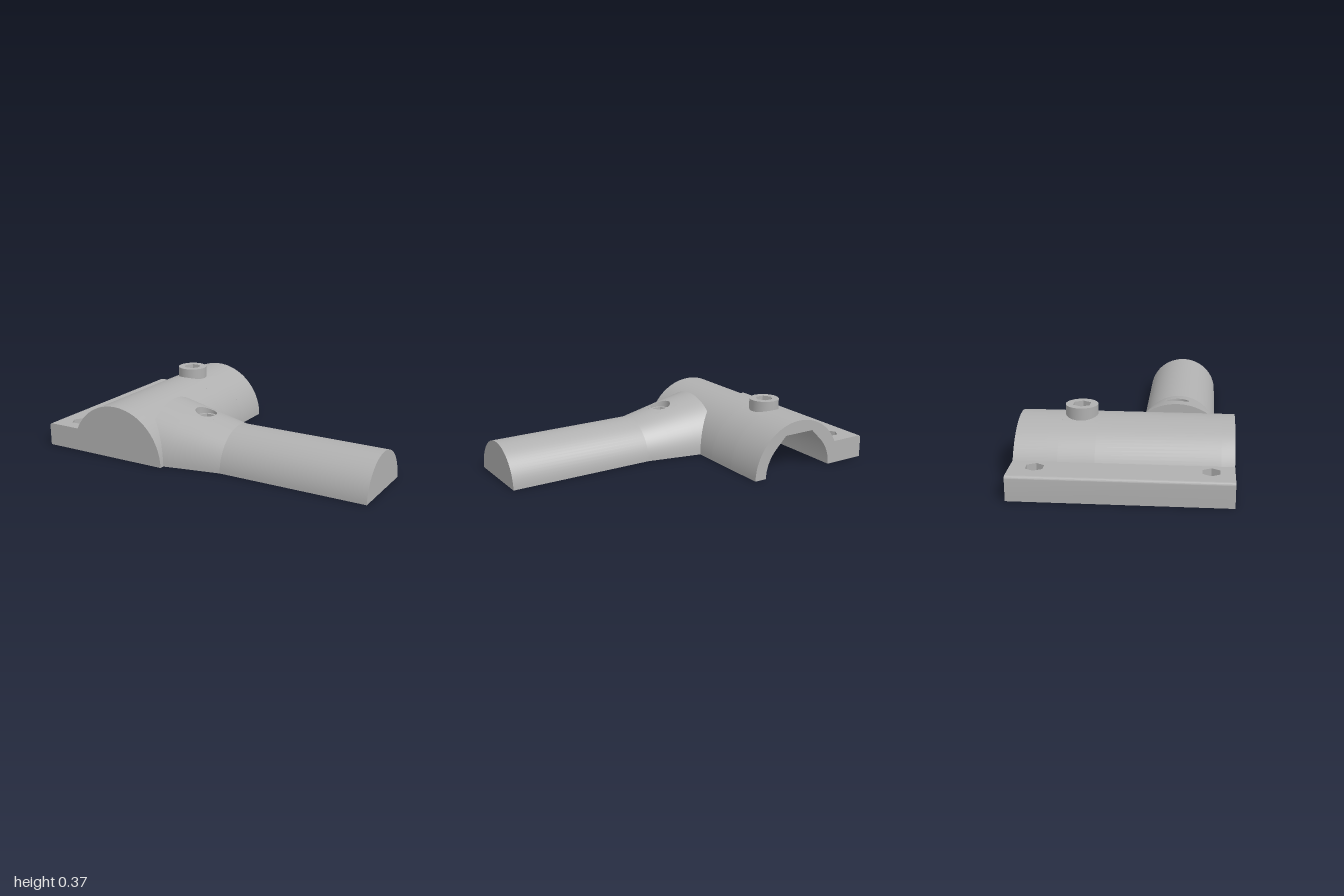
import * as THREE from 'three';
import { toCreasedNormals } from 'three/addons/utils/BufferGeometryUtils.js';

const grey = new THREE.MeshStandardMaterial({ color: 0xb0b0b0, side: THREE.DoubleSide });
grey.name = 'grey plastic';

const CX = -0.51, R = 0.31, BORE = 0.235, HALF = BORE * Math.tan(Math.PI / 8); // sleeve
const LEN = 0.575, WALL = 0.505;                                            // sleeve ends
const AZ = 0.26, AR = 0.22, HX = -0.09, HH = 0.08;                          // arm
const HOLE = 0.03, HEX = 0.052;
const BZ = -0.245, BOSS = 0.088;

const V2 = (x, y) => new THREE.Vector2(x, y);

// Points along an arc
function arc(cx, cy, r, a0, a1, n) {
  return Array.from({ length: n + 1 }, (_, i) => {
    const a = a0 + (a1 - a0) * i / n;
    return V2(cx + r * Math.cos(a), cy + r * Math.sin(a));
  });
}

// Surface through rows of equally many [x, y, z] points
function grid(rows, skip = () => false) {
  const n = rows[0].length, index = [];
  for (let i = 0; i < rows.length - 1; i++) for (let j = 0; j < n - 1; j++) {
    if (skip(i, j)) continue;
    const a = i * n + j, b = a + n;
    index.push(a, a + 1, b, a + 1, b + 1, b);
  }
  const g = new THREE.BufferGeometry();
  g.setAttribute('position', new THREE.Float32BufferAttribute(rows.flat(2), 3));
  g.setIndex(index);
  return toCreasedNormals(g, 0.5);
}

// Closed ring in plan whose height follows a rule; square or round
function ring(cx, cz, size, height, square = false) {
  return Array.from({ length: 33 }, (_, i) => {
    const a = i / 32 * Math.PI * 2, c = Math.cos(a), s = Math.sin(a);
    const k = square ? size / Math.max(Math.abs(c), Math.abs(s)) : size;
    const x = cx + k * c, z = cz + k * s;
    return [x, height(x, z), z];
  });
}

export function createModel() {
  const model = new THREE.Group();
  const add = (name, geo) => {
    const m = new THREE.Mesh(geo, grey);
    m.name = name;
    model.add(m);
    return m;
  };
  const slab = (name, pts, z0, z1) => {
    const g = new THREE.ExtrudeGeometry(new THREE.Shape(pts), { depth: z1 - z0, bevelEnabled: false });
    add(name, toCreasedNormals(g.translate(0, 0, z0), 0.5));
  };
  const tube = (name, r, x, z, y0, y1, sides = 32) => add(name, toCreasedNormals(
    new THREE.CylinderGeometry(r, r, y1 - y0, sides, 1, true)
      .rotateY(Math.PI / 6).translate(x, (y0 + y1) / 2, z), 0.5));
  // Horizontal disc with a hole
  const washer = (name, outer, inner, x, z, y, so, si) => {
    const s = new THREE.Shape(arc(0, 0, outer, 0, Math.PI * 2, so).slice(0, -1));
    s.holes.push(new THREE.Path(arc(0, 0, inner, 0, Math.PI * 2, si).slice(0, -1)));
    add(name, new THREE.ShapeGeometry(s).rotateX(-Math.PI / 2).translate(x, y, z));
  };
  // Hexagonal nut pocket with a screw hole below it
  const pocket = (x, z, top, floor, bottom) => {
    tube('nutPocket', HEX, x, z, floor, top, 6);
    washer('nutPocketFloor', HEX, HOLE, x, z, floor, 6, 32);
    tube('screwHole', HOLE, x, z, bottom, floor);
  };

  // Sleeve: half tube with a flat-roofed bore, closed at the front
  const q = Math.PI / 4;
  const profile = [
    ...arc(CX, 0, R, 0, Math.PI, 48),
    ...arc(CX, 0, BORE, Math.PI, 3 * q, 12),
    V2(CX - HALF, BORE), V2(CX + HALF, BORE),
    ...arc(CX, 0, BORE, q, 0, 12),
  ];
  slab('sleeveBack', profile, -LEN, BZ - HALF);
  slab('sleeveFront', profile, BZ + HALF, WALL);
  slab('sleeveEndWall', arc(CX, 0, R, 0, Math.PI, 48), WALL, LEN);
  for (const s of [1, -1]) {
    const side = [
      ...arc(0, 0, R, 0, Math.acos(HALF / R), 20),
      V2(HALF, BORE),
      ...arc(0, 0, BORE, q, 0, 12),
    ].map(p => V2(CX + s * p.x, p.y));
    slab('sleeveSide', side, BZ - HALF, BZ + HALF);
  }

  // Sleeve roof around the boss, pierced for the screw
  const sleeveTop = x => Math.sqrt(R * R - (x - CX) ** 2);
  add('sleeveRoof', grid([ring(CX, BZ, 0.08, sleeveTop), ring(CX, BZ, HALF, sleeveTop, true)]));
  add('boreCeiling', grid([ring(CX, BZ, HOLE, () => BORE), ring(CX, BZ, HALF, () => BORE, true)]));

  // Boss on the sleeve
  tube('boss', BOSS, CX, BZ, 0.28, 0.365, 48);
  washer('bossTop', BOSS, HEX, CX, BZ, 0.365, 48, 6);
  pocket(CX, BZ, 0.365, 0.31, BORE);

  // Flange plate: round holes below, hexagonal pockets above
  const FX = -0.865, flangeZ = [-0.445, 0.455];
  const layer = (name, top, depth, r, sides) => {
    const s = new THREE.Shape([V2(-0.985, -LEN), V2(-0.78, -LEN), V2(-0.78, LEN), V2(-0.985, LEN)]);
    for (const z of flangeZ)
      s.holes.push(new THREE.Path(arc(FX, z, r, 0, Math.PI * 2, sides).slice(0, -1)));
    const g = new THREE.ExtrudeGeometry(s, { depth, bevelEnabled: false });
    add(name, toCreasedNormals(g.rotateX(Math.PI / 2).translate(0, top, 0), 0.5));
  };
  layer('flangeLower', 0.075, 0.075, HOLE, 32);
  layer('flangeUpper', 0.135, 0.06, HEX, 6);
  slab('flangeRoundedEdge', [
    V2(-0.985, 0), ...arc(-0.985, 0.12, 0.015, Math.PI / 2, Math.PI, 6), V2(-1, 0),
  ], -LEN, LEN);

  // Arm: half cone flaring into the sleeve, then a straight half cylinder
  const radius = x => AR + Math.max(0, 0.13 - x) * 0.2045;
  const seatX = y => Math.max(-0.31, CX + Math.sqrt(Math.max(0, 0.275 ** 2 - y * y)));
  const SIDE = 14, TOP = 8, N = 2 * SIDE + TOP;
  const section = (x, seated = false) => Array.from({ length: N + 1 }, (_, j) => {
    const c = Math.acos(HH / radius(x));
    const a = j <= SIDE ? c * j / SIDE
      : j <= SIDE + TOP ? c + (Math.PI - 2 * c) * (j - SIDE) / TOP
      : Math.PI - c * (N - j) / SIDE;
    const px = seated ? seatX(radius(x) * Math.sin(a)) : x, r = radius(px);
    return [px, r * Math.sin(a), AZ + r * Math.cos(a)];
  });
  const root = section(-0.31, true);
  add('armFlare', grid([root, section(HX - HH), section(HX + HH), section(0.13)],
    (i, j) => i === 1 && j >= SIDE && j < SIDE + TOP));
  add('armShaft', grid([section(0.13), section(1)]));
  add('armRootFace', grid([root.slice(0, N / 2 + 1), root.slice(N / 2).reverse()]));
  add('armEndFace', new THREE.CircleGeometry(AR, 48, 0, Math.PI)
    .rotateY(Math.PI / 2).translate(1, 0, AZ));

  // Underside of the arm
  const rootX = seatX(0), rr = radius(rootX);
  const under = new THREE.Shape([
    V2(rootX, AZ - rr), V2(0.13, AZ - AR), V2(1, AZ - AR),
    V2(1, AZ + AR), V2(0.13, AZ + AR), V2(rootX, AZ + rr),
  ]);
  under.holes.push(new THREE.Path(arc(HX, AZ, HOLE, 0, Math.PI * 2, 32).slice(0, -1)));
  add('armUnderside', new THREE.ShapeGeometry(under).rotateX(Math.PI / 2));

  // Counterbore and nut pocket in the arm
  const armTop = (x, z) => Math.sqrt(radius(x) ** 2 - (z - AZ) ** 2);
  const CB = 0.062, FLOOR = 0.235, rim = ring(HX, AZ, CB, armTop);
  add('armTopAroundHole', grid([rim, ring(HX, AZ, HH, armTop, true)]));
  add('counterboreWall', grid([rim, ring(HX, AZ, CB, () => FLOOR)]));
  washer('counterboreFloor', CB, HEX, HX, AZ, FLOOR, 32, 6);
  pocket(HX, AZ, FLOOR, 0.18, 0);

  return model;
}
